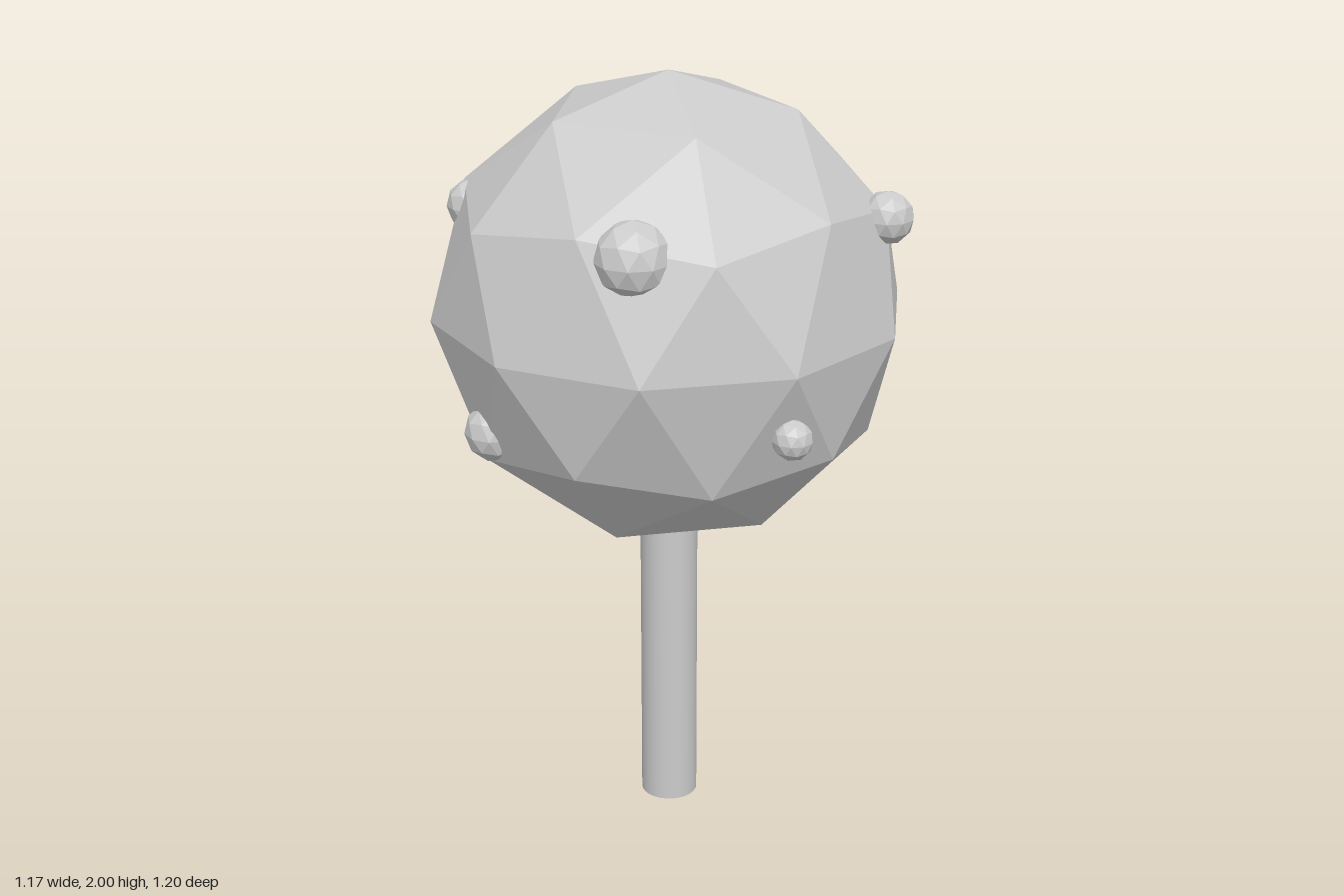
import * as THREE from 'three';

const CX = -0.018; // shared axis of stem and ball

export function createModel() {
  const group = new THREE.Group();
  const faceted = new THREE.MeshStandardMaterial({ color: 0xcccccc, flatShading: true });
  const smooth = new THREE.MeshStandardMaterial({ color: 0xcccccc });

  // Faceted ball shape, turned so that a corner points straight up
  const ballGeometry = new THREE.IcosahedronGeometry(1, 1);
  ballGeometry.rotateZ(-Math.atan(2 / (1 + Math.sqrt(5))));

  function addBall(name, radius, x, y, z) {
    const mesh = new THREE.Mesh(ballGeometry, faceted);
    mesh.name = name;
    mesh.scale.setScalar(radius);
    mesh.position.set(x, y, z);
    group.add(mesh);
  }

  // Stem, its top sunk into the ball
  const stem = new THREE.Mesh(new THREE.CylinderGeometry(0.075, 0.075, 0.9, 32), smooth);
  stem.name = 'stem';
  stem.position.set(CX, 0.45, 0);
  group.add(stem);

  // Main ball
  addBall('ball', 0.6, CX, 1.4, 0);

  // Small bumps, half buried in the ball: radius, x, y, z
  const bumps = [
    [0.095, -0.047, 1.667, 0.467],
    [0.067, 0.521, 1.657, 0.032],
    [0.05, 0.324, 1.233, 0.448],
    [0.075, -0.415, 1.16, 0.295],
    [0.067, -0.503, 1.655, 0.025],
    [0.09, 0.305, 1.4, -0.45],
    [0.065, -0.156, 1.287, -0.532],
  ];
  bumps.forEach((b, i) => addBall(`bump${i + 1}`, ...b));

  return group;
}
